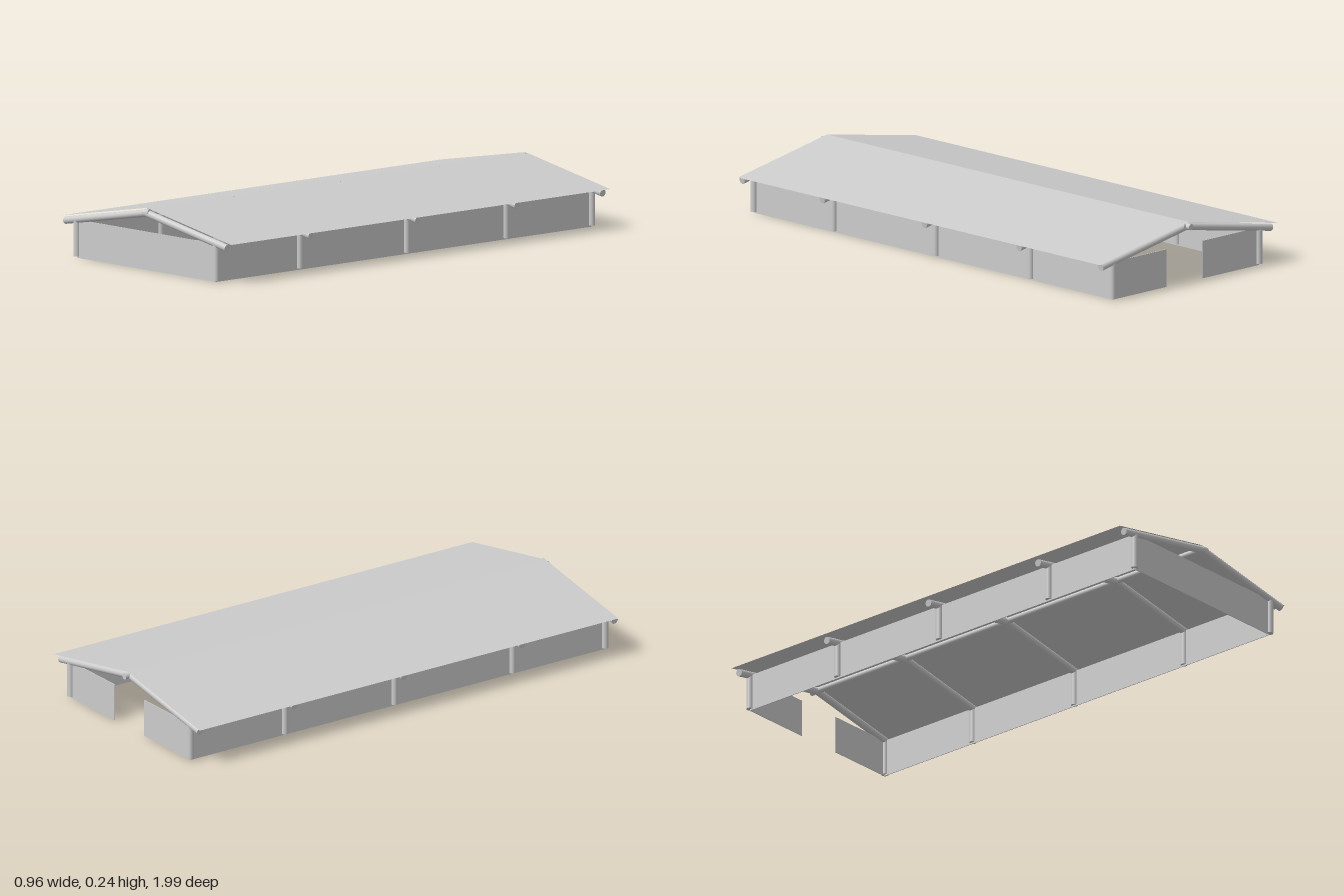
import * as THREE from 'three';

const UP = new THREE.Vector3(0, 1, 0);

export function createModel() {
  const group = new THREE.Group();
  const grey = new THREE.MeshStandardMaterial({ color: 0xcccccc });
  const sheet = new THREE.MeshStandardMaterial({ color: 0xcccccc, side: THREE.DoubleSide });

  const add = (geometry, material, name) => {
    const mesh = new THREE.Mesh(geometry, material);
    mesh.name = name;
    group.add(mesh);
    return mesh;
  };

  // round timber between two points
  const pole = (name, from, to, radius) => {
    const a = new THREE.Vector3(...from), b = new THREE.Vector3(...to);
    const mesh = add(new THREE.CylinderGeometry(radius, radius, a.distanceTo(b), 24), grey, name);
    mesh.position.copy(a).add(b).multiplyScalar(0.5);
    mesh.quaternion.setFromUnitVectors(UP, b.sub(a).normalize());
  };

  // thin upright panel
  const wall = (name, x0, x1, z0, z1) => {
    const t = 0.003;
    const mesh = add(new THREE.BoxGeometry(Math.max(x1 - x0, t), 0.148, Math.max(z1 - z0, t)), grey, name);
    mesh.position.set((x0 + x1) / 2, 0.074, (z0 + z1) / 2);
  };

  const slope = 0.18;
  const eaveX = 0.48, ridgeY = 0.24;
  const postX = 0.394;
  const frames = [0.98, 0.545, -0.01, -0.525, -0.97];

  // posts and rafters of each frame
  for (const z of frames) {
    for (const side of [-1, 1]) {
      pole('post', [side * postX, 0.006, z], [side * postX, 0.154, z], 0.0135);
      const past = side < 0 ? 0.022 : 0.01; // one rafter laps over the other at the ridge
      pole('rafter',
        [side * 0.457, 0.22 - slope * 0.457, z],
        [-side * past, 0.22 + slope * past, z], 0.0142);
    }
  }

  // ridge pole, showing at the back gable
  pole('ridgePole', [0, 0.222, 0.985], [0, 0.222, -1], 0.012);

  // walls: closed front and sides, open doorway at the back
  wall('frontWall', -0.392, 0.392, 0.98, 0.98);
  wall('leftWall', 0.392, 0.392, -0.97, 0.98);
  wall('rightWall', -0.392, -0.392, -0.97, 0.98);
  wall('backWallLeft', 0.105, 0.392, -0.97, -0.97);
  wall('backWallRight', -0.392, -0.09, -0.97, -0.97);

  // roof sheets
  for (const side of [-1, 1]) {
    const roof = new THREE.PlaneGeometry(eaveX, 1.968);
    roof.rotateX(-Math.PI / 2);
    roof.translate(side * eaveX / 2, 0, -0.004);
    const p = roof.attributes.position;
    for (let i = 0; i < p.count; i++) p.setY(i, ridgeY - slope * Math.abs(p.getX(i)));
    roof.computeVertexNormals();
    add(roof, sheet, 'roof');
  }

  return group;
}
